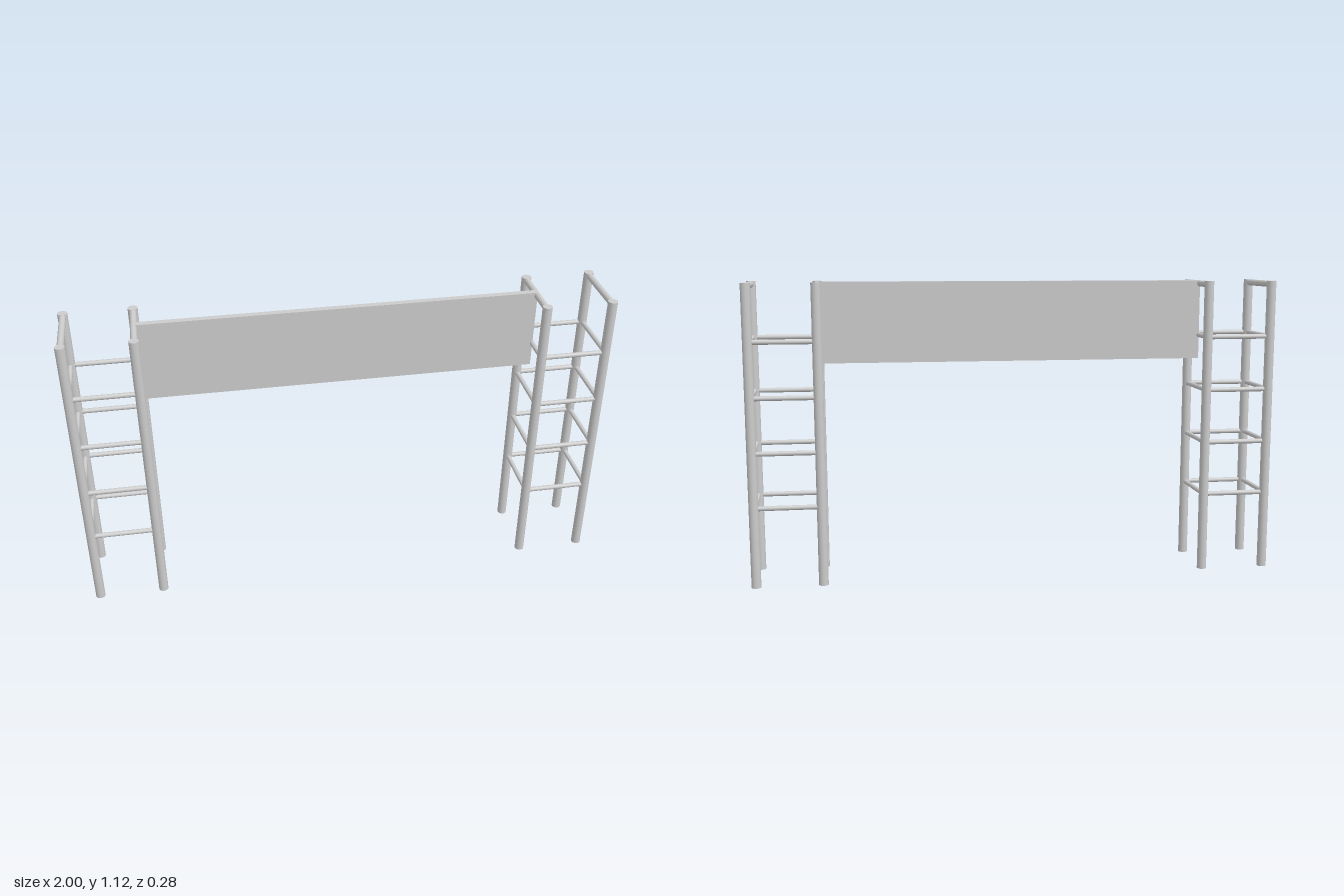
import * as THREE from 'three';

const H = 1.123;            // overall height
const OUTER = 0.982, INNER = 0.735, DEPTH = 0.123; // post positions
const POST_R = 0.018, RUNG_R = 0.009, TOP_R = 0.012;
const RUNG_LEVELS = [0.299, 0.503, 0.707, 0.911];

const material = new THREE.MeshStandardMaterial({ color: 0xcccccc });

// Round bar between two points
function bar(name, a, b, radius) {
  const from = new THREE.Vector3(...a), to = new THREE.Vector3(...b);
  const dir = to.clone().sub(from);
  const mesh = new THREE.Mesh(new THREE.CylinderGeometry(radius, radius, dir.length(), 24), material);
  mesh.position.copy(from).add(to).multiplyScalar(0.5);
  mesh.quaternion.setFromUnitVectors(new THREE.Vector3(0, 1, 0), dir.normalize());
  mesh.name = name;
  return mesh;
}

// Four-post ladder tower on one side
function tower(side, name) {
  const group = new THREE.Group();
  group.name = name;
  const xs = [side * INNER, side * OUTER];
  for (const x of xs) {
    for (const z of [-DEPTH, DEPTH]) group.add(bar('post', [x, 0, z], [x, H, z], POST_R));
    // Thicker bar closing the top of each ladder
    const y = H - TOP_R;
    group.add(bar('topBar', [x, y, -DEPTH], [x, y, DEPTH], TOP_R));
  }
  // Rungs on all four faces
  for (const y of RUNG_LEVELS) {
    for (const x of xs) group.add(bar('sideRung', [x, y, -DEPTH], [x, y, DEPTH], RUNG_R));
    for (const z of [-DEPTH, DEPTH]) group.add(bar('crossRung', [xs[0], y, z], [xs[1], y, z], RUNG_R));
  }
  return group;
}

export function createModel() {
  const model = new THREE.Group();
  model.name = 'bannerGate';
  model.add(tower(1, 'leftTower'), tower(-1, 'rightTower'));

  // Panel hung between the towers
  const panel = new THREE.Mesh(new THREE.BoxGeometry(INNER * 2, 0.303, 0.024), material);
  panel.position.y = H - 0.303 / 2;
  panel.name = 'bannerPanel';
  model.add(panel);
  return model;
}
